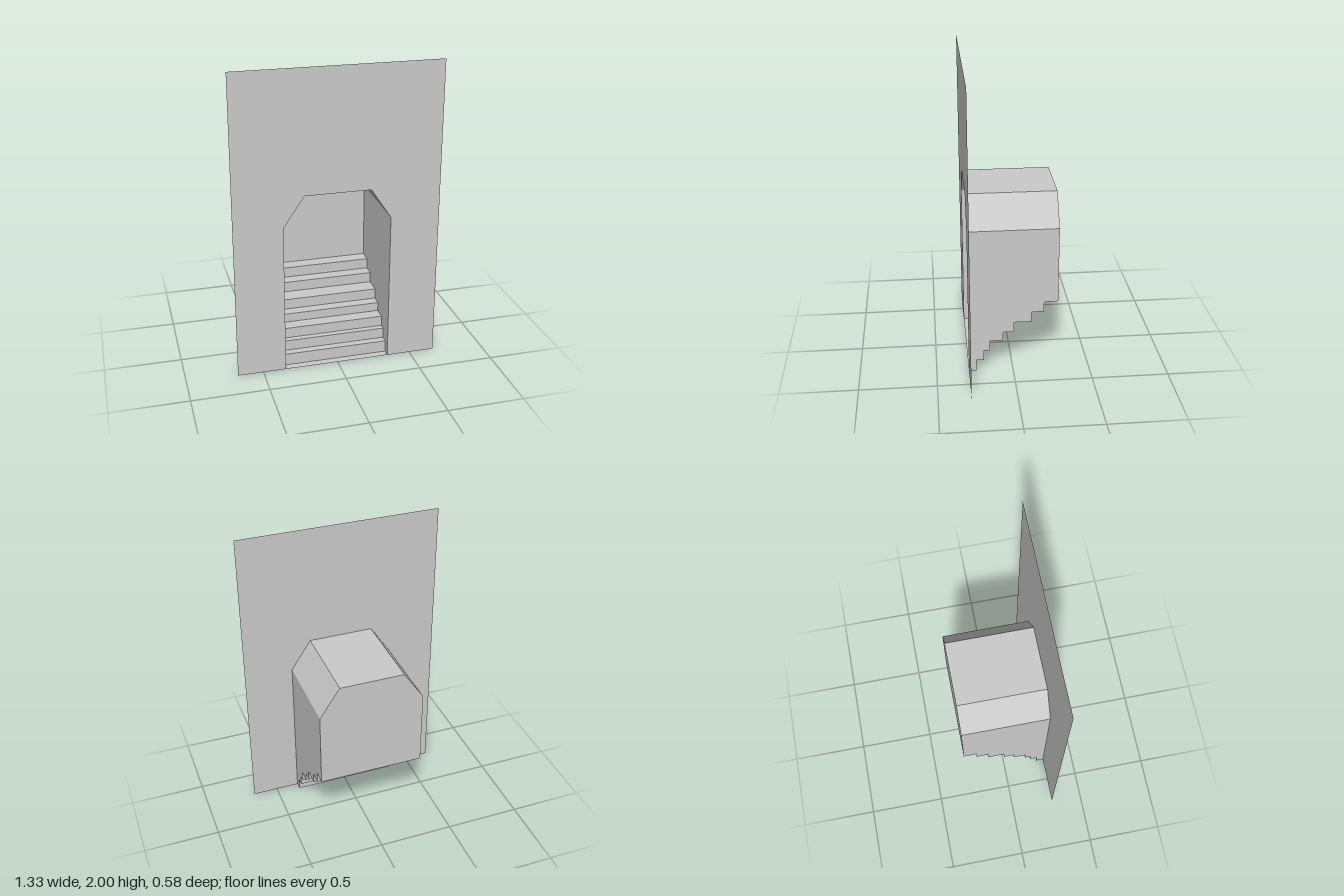
import * as THREE from 'three';

const FRONT = 0.29, BACK = -0.29;
const LEFT = 0.345, RIGHT = -0.35;            // passage sides
const TOP_LEFT = 0.212, TOP_RIGHT = -0.215;   // flat ceiling edges
const SPRING = 1.0, CEILING = 1.2;
const WIDTH = LEFT - RIGHT, MID = (LEFT + RIGHT) / 2;

// Height and front edge of each tread, from the floor up
const TREADS = [
  [0, FRONT], [0.08, 0.24], [0.15, 0.19], [0.22, 0.15],
  [0.28, 0.065], [0.35, -0.005], [0.42, -0.12], [0.49, -0.2],
];
const LANDING = TREADS[TREADS.length - 1][0];

const material = new THREE.MeshStandardMaterial({
  color: 0xcccccc, side: THREE.DoubleSide, flatShading: true,
});

function outline(points) {
  return new THREE.ShapeGeometry(new THREE.Shape(points.map(([x, y]) => new THREE.Vector2(x, y))));
}

export function createModel() {
  const group = new THREE.Group();
  const add = (name, geometry, parent = group) => {
    const mesh = new THREE.Mesh(geometry, material);
    mesh.name = name;
    parent.add(mesh);
    return mesh;
  };

  // Thin facade with the doorway cut out of its lower edge
  add('facade', outline([
    [-0.667, 0], [RIGHT, 0], [RIGHT, SPRING], [TOP_RIGHT, CEILING],
    [TOP_LEFT, CEILING], [LEFT, SPRING], [LEFT, 0], [0.667, 0], [0.667, 2], [-0.667, 2],
  ])).position.z = FRONT;

  // Back wall above the landing
  add('backWall', outline([
    [RIGHT, LANDING], [LEFT, LANDING], [LEFT, SPRING],
    [TOP_LEFT, CEILING], [TOP_RIGHT, CEILING], [RIGHT, SPRING],
  ])).position.z = BACK;

  // Side walls, their lower edge following the steps
  const profile = [[FRONT, SPRING]];
  TREADS.forEach(([y, z], i) => {
    const end = i + 1 < TREADS.length ? TREADS[i + 1][1] : BACK;
    profile.push([z, y], [end, y]);
  });
  profile.push([BACK, SPRING]);
  for (const [name, x] of [['leftWall', LEFT], ['rightWall', RIGHT]]) {
    add(name, outline(profile).rotateY(-Math.PI / 2)).position.x = x;
  }

  // Flat ceiling and the two sloped panels beside it
  const vaultPanel = (name, x0, y0, x1, y1) => {
    const geometry = new THREE.PlaneGeometry(Math.hypot(x1 - x0, y1 - y0), FRONT - BACK)
      .rotateX(-Math.PI / 2).rotateZ(Math.atan2(y1 - y0, x1 - x0));
    add(name, geometry).position.set((x0 + x1) / 2, (y0 + y1) / 2, (FRONT + BACK) / 2);
  };
  vaultPanel('rightSlope', RIGHT, SPRING, TOP_RIGHT, CEILING);
  vaultPanel('ceiling', TOP_RIGHT, CEILING, TOP_LEFT, CEILING);
  vaultPanel('leftSlope', TOP_LEFT, CEILING, LEFT, SPRING);

  // Staircase of thin treads and risers
  const stairs = new THREE.Group();
  stairs.name = 'stairs';
  group.add(stairs);
  TREADS.forEach(([y, z], i) => {
    const end = i + 1 < TREADS.length ? TREADS[i + 1][1] : BACK;
    add('tread', new THREE.PlaneGeometry(WIDTH, z - end).rotateX(-Math.PI / 2), stairs)
      .position.set(MID, y, (z + end) / 2);
    if (i > 0) {
      const below = TREADS[i - 1][0];
      add('riser', new THREE.PlaneGeometry(WIDTH, y - below), stairs)
        .position.set(MID, (y + below) / 2, z);
    }
  });

  return group;
}
